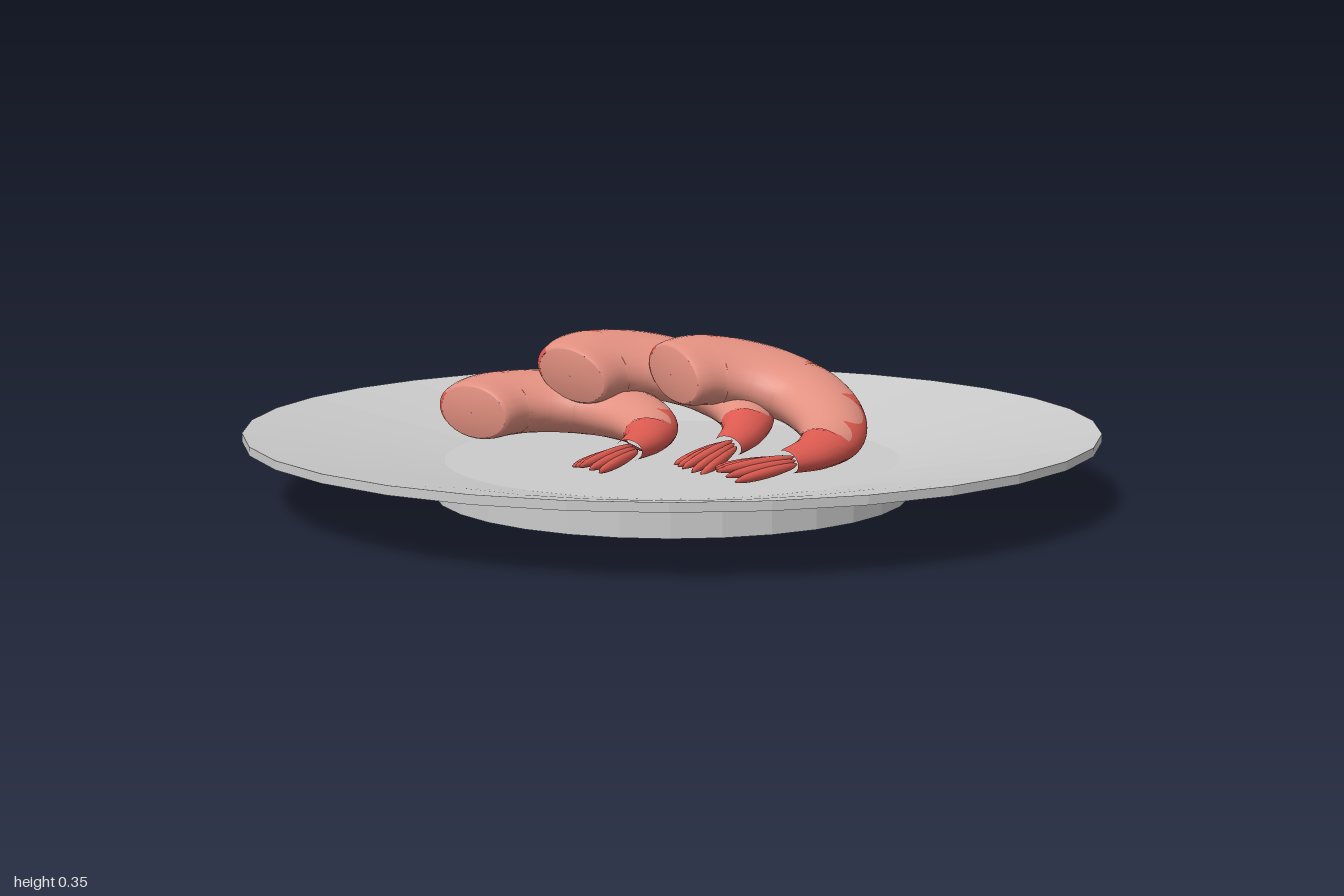
import * as THREE from 'three';

const plateGrey = new THREE.MeshStandardMaterial({ color: 0xcbcbcb });
plateGrey.name = 'plate grey';
const salmon = new THREE.MeshStandardMaterial({ color: 0xe29080 });
salmon.name = 'salmon flesh';
const red = new THREE.MeshStandardMaterial({ color: 0xdc5a50 });
red.name = 'shell red';

const V = (x, y, z) => new THREE.Vector3(x, y, z);
const UP = V(0, 1, 0);

function mesh(name, geometry, material) {
  const m = new THREE.Mesh(geometry, material);
  m.name = name;
  return m;
}

// Body centre line from cut end to tail: x, z, half width, half height
const stations = [
  [0, 0, 0.107, 0.07], [0.1, -0.052, 0.128, 0.075], [0.22, -0.035, 0.125, 0.075],
  [0.315, 0.045, 0.115, 0.072], [0.35, 0.16, 0.097, 0.063], [0.335, 0.275, 0.075, 0.05],
  [0.275, 0.365, 0.052, 0.037], [0.19, 0.432, 0.034, 0.025],
];
const path = new THREE.CatmullRomCurve3(stations.map(([x, z]) => V(x, 0, z)));
const radii = new THREE.CatmullRomCurve3(stations.map(([, , w, h]) => V(w, h, 0)));

// Point on an oval cross-section; angle 0 is the outer side of the bend
function section(t, a, k = 1) {
  const tangent = path.getTangent(t);
  const side = UP.clone().cross(tangent).normalize();
  const r = radii.getPoint(t);
  return path.getPoint(t)
    .addScaledVector(side, Math.cos(a) * r.x * k)
    .addScaledVector(UP, Math.sin(a) * r.y * k);
}

// Body surface, with its cut edge slightly rounded
function skin(t, a) {
  const s = 1 - Math.min(1, t / 0.035);
  return section(t, a, 0.9 + 0.1 * Math.sqrt(1 - s * s));
}

// Gently domed face at the cut end
function cutFace(k, a) {
  return section(0, a, 0.9 * k).addScaledVector(path.getTangent(0), -0.008 * (1 - k * k));
}

// Grid surface between two angle limits that may vary along its length
function patch(fn, limits, rows, cols, start = 0) {
  const pos = [], nor = [], idx = [], e = 0.002;
  for (let i = 0; i <= rows; i++) {
    const t = start + (1 - start) * i / rows;
    const [a0, a1] = limits(t);
    for (let j = 0; j <= cols; j++) {
      const a = a0 + (a1 - a0) * j / cols;
      const da = fn(t, a + e).sub(fn(t, a - e));
      const dt = fn(Math.min(1, t + e), a).sub(fn(Math.max(start, t - e), a));
      pos.push(...fn(t, a).toArray());
      nor.push(...da.cross(dt).normalize().toArray());
      if (i < rows && j < cols) {
        const p = i * (cols + 1) + j, q = p + cols + 1;
        idx.push(p, p + 1, q, p + 1, q + 1, q);
      }
    }
  }
  const g = new THREE.BufferGeometry();
  g.setAttribute('position', new THREE.Float32BufferAttribute(pos, 3));
  g.setAttribute('normal', new THREE.Float32BufferAttribute(nor, 3));
  g.setIndex(idx);
  return g;
}

// Half angle of the red back: widens at each shell joint, wraps round at the tail
function redSpread(t) {
  let w = 0.55;
  for (const joint of [0.16, 0.4, 0.57, 0.72]) w += 0.85 * Math.exp(-Math.abs(t - joint) / 0.025);
  return THREE.MathUtils.lerp(w, Math.PI, THREE.MathUtils.smoothstep(t, 0.78, 0.82));
}

const backGeometry = patch(skin, t => [-redSpread(t), redSpread(t)], 110, 16);
const fleshGeometry = patch(skin, t => [redSpread(t), 2 * Math.PI - redSpread(t)], 110, 24);
const cutGeometry = patch(cutFace, () => [0, 2 * Math.PI], 5, 36, 0.01);
const bladeGeometry = new THREE.SphereGeometry(1, 12, 10);

function shrimp(name, position, yaw, tilt) {
  const g = new THREE.Group();
  g.name = name;
  g.add(
    mesh('shellBack', backGeometry, red),
    mesh('flesh', fleshGeometry, salmon),
    mesh('cutEnd', cutGeometry, salmon),
  );
  // Tail fan: slim blades spreading from the end of the body
  const fan = new THREE.Group();
  fan.name = 'tailFan';
  fan.position.set(0.205, 0, 0.422);
  fan.rotation.y = Math.PI + Math.atan2(0.105, 0.2);
  for (let i = -2; i <= 2; i++) {
    const holder = new THREE.Group();
    holder.name = 'tailBladeHolder';
    holder.rotation.y = i * 0.055;
    const blade = mesh('tailBlade', bladeGeometry, red);
    const half = 0.115 - Math.abs(i) * 0.006;
    blade.scale.set(half, 0.013, 0.012);
    blade.position.set(half - 0.005, 0.008 - Math.abs(i) * 0.006, -i * 0.007);
    holder.add(blade);
    fan.add(holder);
  }
  g.add(fan);
  // Turn about the vertical, then lean towards the plate
  g.position.set(...position);
  g.quaternion.setFromUnitVectors(UP, V(...tilt).normalize())
    .multiply(new THREE.Quaternion().setFromAxisAngle(UP, yaw));
  return g;
}

export function createModel() {
  const model = new THREE.Group();
  model.name = 'shrimpPlate';

  // Faceted plate with a raised foot ring
  const profile = [
    [0, 0.03], [0.47, 0.03], [0.47, 0], [0.565, 0], [0.565, 0.06],
    [1, 0.145], [1, 0.165], [0.78, 0.125], [0.54, 0.08], [0, 0.08],
  ].map(([r, y]) => new THREE.Vector2(r, y));
  const plate = new THREE.LatheGeometry(profile, 32).toNonIndexed();
  plate.computeVertexNormals();
  model.add(mesh('plate', plate, plateGrey));

  // Three overlapping shrimp
  model.add(
    shrimp('rightShrimp', [-0.45, 0.162, -0.24], 0.36, [0.03, 1, 0.12]),
    shrimp('middleShrimp', [-0.21, 0.25, -0.21], 0.36, [0.12, 1, 0.3]),
    shrimp('leftShrimp', [0.025, 0.26, -0.11], 0, [0.13, 1, 0.31]),
  );
  return model;
}
